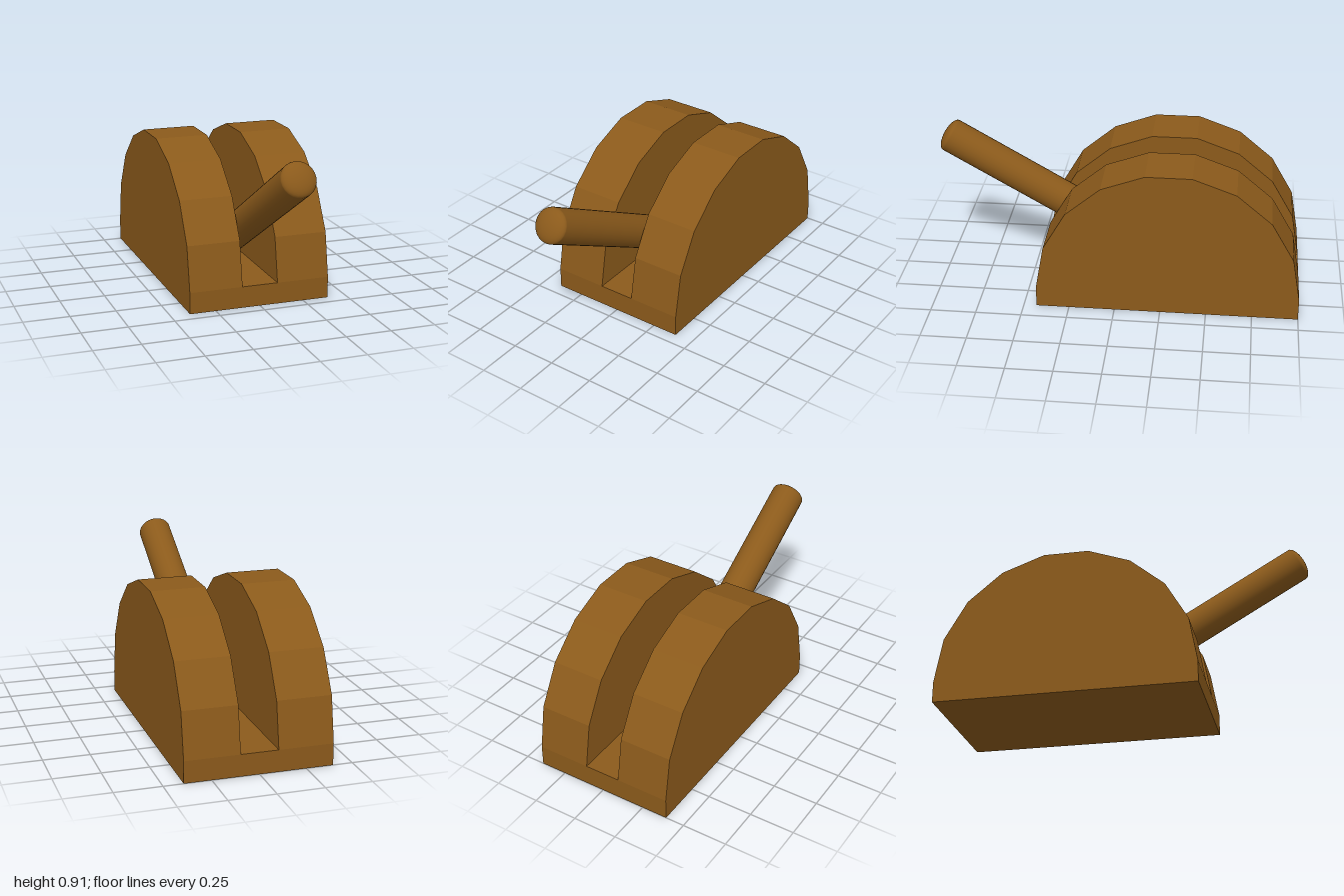
import * as THREE from 'three';

const PIVOT_Y = 0.118, PIVOT_Z = -0.285; // centre of the round housing and lever pivot
const RADIUS = 0.715, HALF_WIDTH = 0.395, SLOT = 0.1;
const material = new THREE.MeshStandardMaterial({ color: 0x8b5a1b });

// Extrude a side profile (drawn in z, y) across x from x0 to x1
function slab(name, points, x0, x1) {
  const geometry = new THREE.ExtrudeGeometry(new THREE.Shape(points), { depth: x1 - x0, bevelEnabled: false });
  geometry.rotateY(-Math.PI / 2).translate(x1, 0, PIVOT_Z);
  const mesh = new THREE.Mesh(geometry, material);
  mesh.name = name;
  return mesh;
}

export function createModel() {
  const model = new THREE.Group();
  model.name = 'leverSwitch';

  // Faceted half-round side cheeks, one facet every 20 degrees
  const profile = [new THREE.Vector2(-RADIUS, 0), new THREE.Vector2(RADIUS, 0)];
  for (let i = 0; i <= 9; i++) {
    const a = (i * Math.PI) / 9;
    profile.push(new THREE.Vector2(RADIUS * Math.cos(a), PIVOT_Y + RADIUS * Math.sin(a)));
  }
  model.add(slab('leftCheek', profile, SLOT, HALF_WIDTH));
  model.add(slab('rightCheek', profile, -HALF_WIDTH, -SLOT));

  // Floor of the slot between the cheeks
  const floor = [[-RADIUS, 0], [RADIUS, 0], [RADIUS, PIVOT_Y], [-RADIUS, PIVOT_Y]].map(p => new THREE.Vector2(...p));
  model.add(slab('slotFloor', floor, -SLOT, SLOT));

  // Lever rod tilted forward, with a shallow domed tip
  const length = 1.417, rod = 0.094;
  const lever = new THREE.Group();
  lever.name = 'lever';
  const shaft = new THREE.Mesh(new THREE.CylinderGeometry(rod, rod, length, 24).translate(0, length / 2, 0), material);
  shaft.name = 'leverShaft';
  const dome = new THREE.SphereGeometry(rod, 24, 8, 0, Math.PI * 2, 0, Math.PI / 2);
  dome.scale(1, 0.43, 1).translate(0, length, 0);
  const tip = new THREE.Mesh(dome, material);
  tip.name = 'leverTip';
  lever.add(shaft, tip);
  lever.position.set(0, PIVOT_Y, PIVOT_Z);
  lever.rotation.x = Math.PI / 3;
  model.add(lever);

  return model;
}
